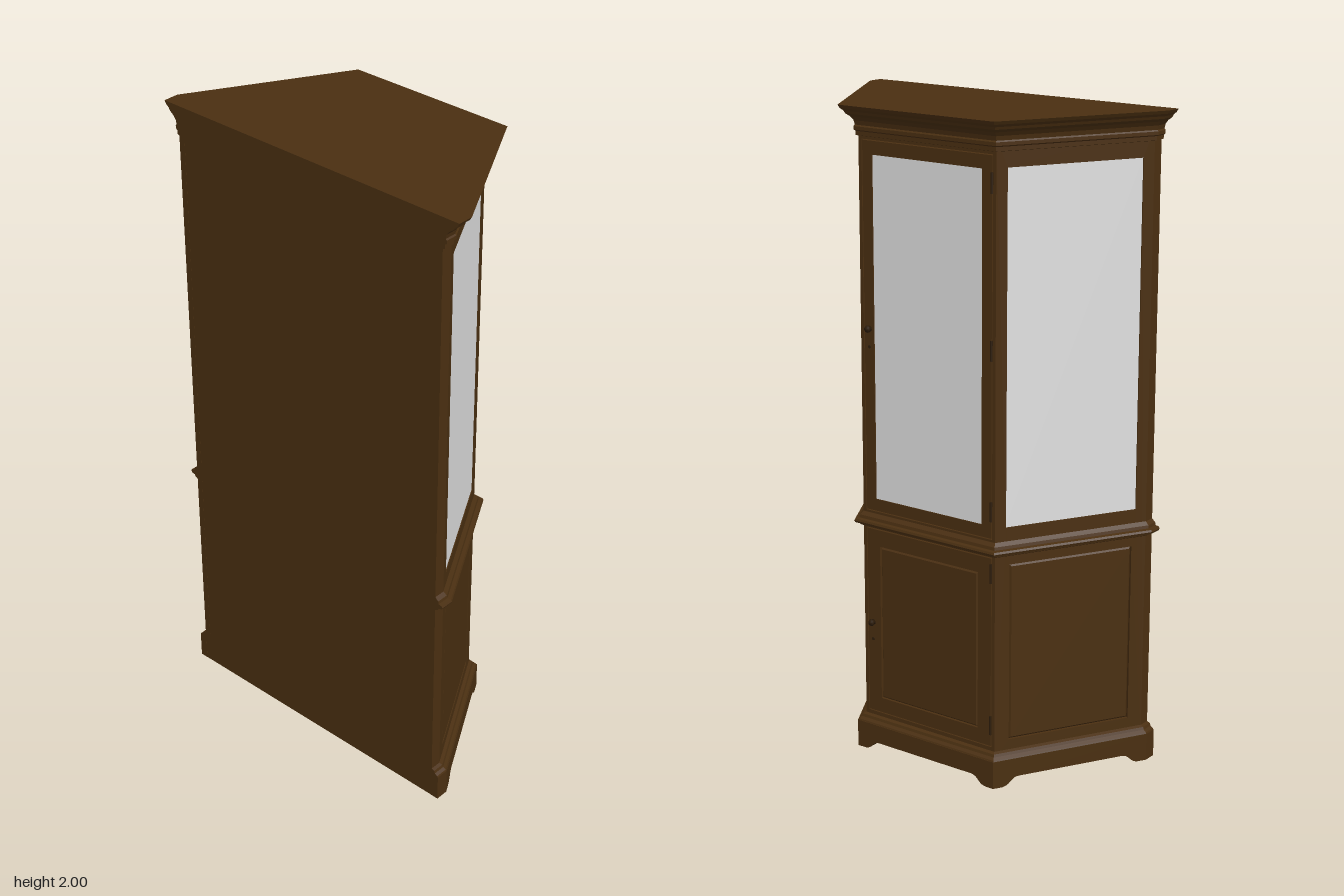
import * as THREE from 'three';

const wood = new THREE.MeshStandardMaterial({ color: 0x4a2f11 });
wood.name = 'dark walnut';
const glass = new THREE.MeshStandardMaterial({ color: 0xe0e0e0 });
glass.name = 'pale glass';
const metal = new THREE.MeshStandardMaterial({ color: 0x2e1d0b });
metal.name = 'dark bronze';

// Plan of the cabinet, grown outward by d: [x, z] corners around the open front
function plan(d) {
  const half = [[-0.26, 0.49 + d], [-0.225 + 0.26 * d, 0.49 + d], [0.205 + d, 0.247 + 0.58 * d]];
  return [...half, ...half.map(([x, z]) => [x, -z]).reverse()];
}

function add(parent, name, geometry, material, x = 0, y = 0, z = 0) {
  const mesh = new THREE.Mesh(geometry, material);
  mesh.name = name;
  mesh.position.set(x, y, z);
  parent.add(mesh);
  return mesh;
}

// Moulding swept around the plan; profile is [outward, height] from bottom to top
function moulding(profile, cap) {
  const rings = profile.map(([d, y]) => plan(d).map(([x, z]) => [x, y, z]));
  const pos = [];
  for (let i = 0; i < rings.length - 1; i++) {
    for (let j = 0; j < 6; j++) {
      const k = (j + 1) % 6;
      const [a, b, c, e] = [rings[i][j], rings[i][k], rings[i + 1][k], rings[i + 1][j]];
      pos.push(...a, ...b, ...c, ...a, ...c, ...e);
    }
  }
  if (cap) {
    const top = rings[rings.length - 1];
    for (let j = 1; j < 5; j++) pos.push(...top[0], ...top[j], ...top[j + 1]);
  }
  const g = new THREE.BufferGeometry();
  g.setAttribute('position', new THREE.Float32BufferAttribute(pos, 3));
  g.computeVertexNormals();
  return g;
}

// Group standing on one edge of the plan: local x along it, local z outward
function faceGroup(a, b, name) {
  const g = new THREE.Group();
  const dx = b[0] - a[0], dz = b[1] - a[1];
  g.name = name;
  g.position.set((a[0] + b[0]) / 2, 0, (a[1] + b[1]) / 2);
  g.rotation.y = Math.atan2(-dz, dx);
  g.userData.width = Math.hypot(dx, dz);
  return g;
}

function rect(w, y0, y1, Type = THREE.Shape) {
  return new Type([[-w, y0], [w, y0], [w, y1], [-w, y1]].map(p => new THREE.Vector2(...p)));
}

// Board with openings, its outer surface at local z = 0
function board(shape, holes = [], depth = 0.02) {
  shape.holes.push(...holes.map(h => rect(...h, THREE.Path)));
  return new THREE.ExtrudeGeometry(shape, { depth, bevelEnabled: false }).translate(0, 0, -depth);
}

// Fielded panel with a chamfered edge sitting in its frame, leaving a fine groove
function fieldedPanel(parent, w, y0, y1) {
  const b = 0.007;
  const g = new THREE.ExtrudeGeometry(rect(w - b, y0 + b, y1 - b), {
    depth: 0.004, bevelThickness: 0.008, bevelSize: b, bevelSegments: 1,
  }).translate(0, 0, -0.013);
  add(parent, 'fieldedPanel', g, wood);
}

function pane(parent, w, y0, y1) {
  add(parent, 'glassPane', new THREE.BoxGeometry(2 * w, y1 - y0, 0.006), glass, 0, (y0 + y1) / 2, -0.006);
}

// Skirt board cut away below between two shaped feet
function skirtShape(w) {
  const s = new THREE.Shape();
  const f = w - 0.03, r = w - 0.085;
  s.moveTo(-w, 0);
  s.lineTo(-f, 0);
  s.bezierCurveTo(-f + 0.03, 0.004, -r - 0.03, 0.027, -r, 0.028);
  s.lineTo(r, 0.028);
  s.bezierCurveTo(r + 0.03, 0.027, f - 0.03, 0.004, f, 0);
  s.lineTo(w, 0);
  s.lineTo(w, 0.086);
  s.lineTo(-w, 0.086);
  return s;
}

// Knob, keyhole plate and hinges of a door
function hardware(parent, knobY, hingeYs) {
  const knob = new THREE.LatheGeometry(
    [[0, 0], [0.009, 0], [0.005, 0.004], [0.011, 0.009], [0.009, 0.014], [0, 0.016]].map(p => new THREE.Vector2(...p)), 14);
  add(parent, 'knob', knob.rotateX(Math.PI / 2), metal, -0.215, knobY, 0);
  const plate = new THREE.CylinderGeometry(0.005, 0.005, 0.003, 10).rotateX(Math.PI / 2);
  add(parent, 'keyhole', plate, metal, -0.215, knobY - 0.055, 0.001);
  for (const y of hingeYs)
    add(parent, 'hinge', new THREE.CylinderGeometry(0.004, 0.004, 0.06, 8), metal, 0.233, y, 0.001);
}

export function createModel() {
  const model = new THREE.Group();
  model.name = 'cornerDisplayCabinet';

  // Back board and the deck between the two cupboards
  add(model, 'backBoard', new THREE.BoxGeometry(0.014, 1.99, 0.98), wood, -0.2525, 0.995, 0);
  add(model, 'deck', moulding([[-0.005, 0.74], [-0.005, 0.755]], true), wood);

  // Five upright faces: two narrow returns, two canted sides and the door front
  const names = ['leftReturn', 'leftSide', 'front', 'rightSide', 'rightReturn'];
  const body = plan(0), base = plan(0.025);
  names.forEach((name, i) => {
    const face = faceGroup(body[i], body[i + 1], name);
    const skirt = faceGroup(base[i], base[i + 1], name + 'Base');
    model.add(face, skirt);
    const w = face.userData.width / 2, sw = skirt.userData.width / 2;

    if (i === 0 || i === 4) {
      add(face, 'stile', board(rect(w, 0.08, 1.95)), wood);
      add(skirt, 'foot', board(rect(sw, 0, 0.086), [], 0.026), wood);
      return;
    }
    add(skirt, 'skirt', board(skirtShape(sw), [], 0.026), wood);

    if (i === 2) {
      // Door front: fixed frame with an upper glazed door and a lower panelled door
      add(face, 'frame', board(rect(w, 0.08, 1.95), [[0.236, 0.12, 0.72], [0.236, 0.775, 1.9]]), wood);
      add(face, 'lowerDoor', board(rect(0.233, 0.123, 0.717), [[0.185, 0.17, 0.665]]), wood);
      add(face, 'upperDoor', board(rect(0.233, 0.778, 1.897), [[0.198, 0.815, 1.857]]), wood);
      fieldedPanel(face, 0.185, 0.17, 0.665);
      pane(face, 0.2, 0.813, 1.859);
      hardware(face, 0.415, [0.19, 0.67]);
      hardware(face, 1.34, [0.86, 1.34, 1.82]);
    } else {
      add(face, 'frame', board(rect(w, 0.08, 1.95), [[0.2, 0.14, 0.695], [0.212, 0.81, 1.862]]), wood);
      fieldedPanel(face, 0.2, 0.14, 0.695);
      pane(face, 0.214, 0.808, 1.864);
    }
  });

  // Mouldings: base cap, waist and cornice
  add(model, 'baseMoulding', moulding([
    [0.025, 0.083], [0.022, 0.09], [0.013, 0.096], [0.01, 0.104], [0, 0.108]]), wood);
  add(model, 'waistMoulding', moulding([
    [0, 0.722], [0.01, 0.727], [0.012, 0.733], [0.024, 0.735], [0.027, 0.741],
    [0.024, 0.747], [0.013, 0.749], [0.011, 0.758], [0, 0.768]]), wood);
  add(model, 'cornice', moulding([
    [0, 1.908], [0.007, 1.91], [0.007, 1.922], [0.013, 1.926], [0.013, 1.936], [0.009, 1.94],
    [0.012, 1.953], [0.021, 1.965], [0.034, 1.974], [0.038, 1.982], [0.048, 1.99], [0.054, 2]], true), wood);

  return model;
}
